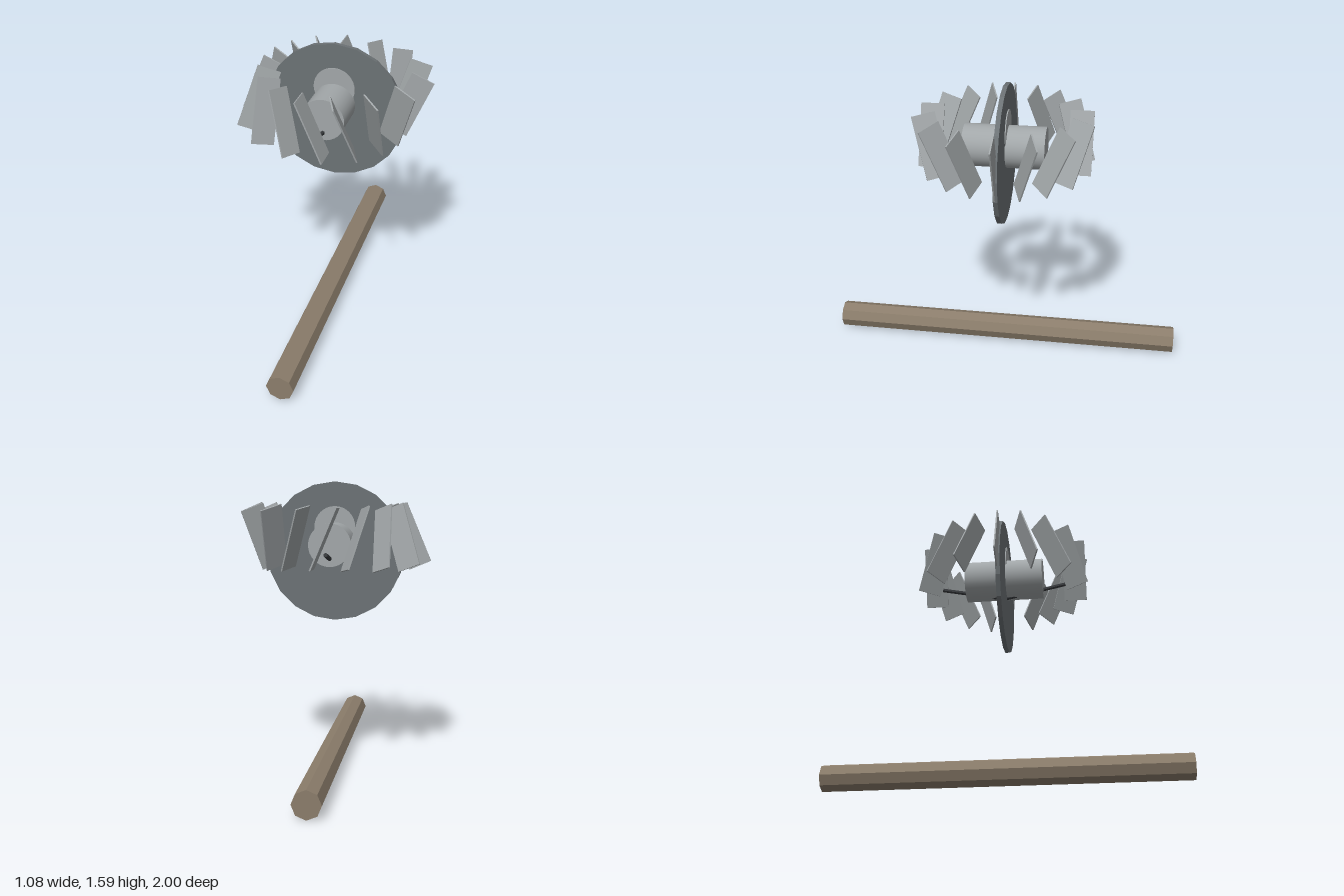
import * as THREE from 'three';

export function createModel() {
  const model = new THREE.Group();
  const mat = (name, color, flatShading = false) => {
    const m = new THREE.MeshStandardMaterial({ color, flatShading });
    m.name = name;
    return m;
  };
  const wood = mat('weathered wood', 0x8b7d6b, true);
  const steel = mat('light steel', 0xa2a7a9);
  const darkSteel = mat('dark steel', 0x6c7275, true);
  const iron = mat('black iron', 0x3a3d40, true);

  const add = (name, geometry, material, x, y, z) => {
    const mesh = new THREE.Mesh(geometry, material);
    mesh.name = name;
    mesh.position.set(x, y, z);
    model.add(mesh);
    return mesh;
  };
  // Cylinder lying along z
  const axle = (r, length, sides) =>
    new THREE.CylinderGeometry(r, r, length, sides).rotateX(Math.PI / 2);

  // Pole on the ground
  add('pole', axle(0.075, 2, 8), wood, 0, 0.078, 0);

  // Upright disc with its hub and raised boss
  add('disc', axle(0.388, 0.025, 20), darkSteel, 0, 1.208, 0);
  add('hub', axle(0.117, 0.45, 32), steel, 0, 1.253, 0);
  add('boss', axle(0.115, 0.036, 32), steel, 0, 1.345, 0);

  // Thin pins rising from under the hub to front and back
  for (const side of [1, -1]) {
    const pin = add('pin', axle(0.012, 0.375, 6), iron, 0, 1.171, side * 0.184);
    pin.rotation.x = -side * 0.21;
  }

  // Ring of radial blades whose lean turns twice as fast as their position
  const up = new THREE.Vector3(0, 1, 0);
  const bladeGeometry = new THREE.BoxGeometry(0.13, 0.35, 0.008);
  for (let i = 0; i < 16; i++) {
    const a = (i / 16) * Math.PI * 2;
    const blade = add('blade', bladeGeometry, steel, 0.41 * Math.cos(a), 1.295, 0.41 * Math.sin(a));
    const leanAxis = new THREE.Vector3(Math.sin(2 * a), 0, -Math.cos(2 * a));
    const yaw = new THREE.Quaternion().setFromAxisAngle(up, -a);
    blade.quaternion.setFromAxisAngle(leanAxis, 0.4).multiply(yaw);
  }
  return model;
}
